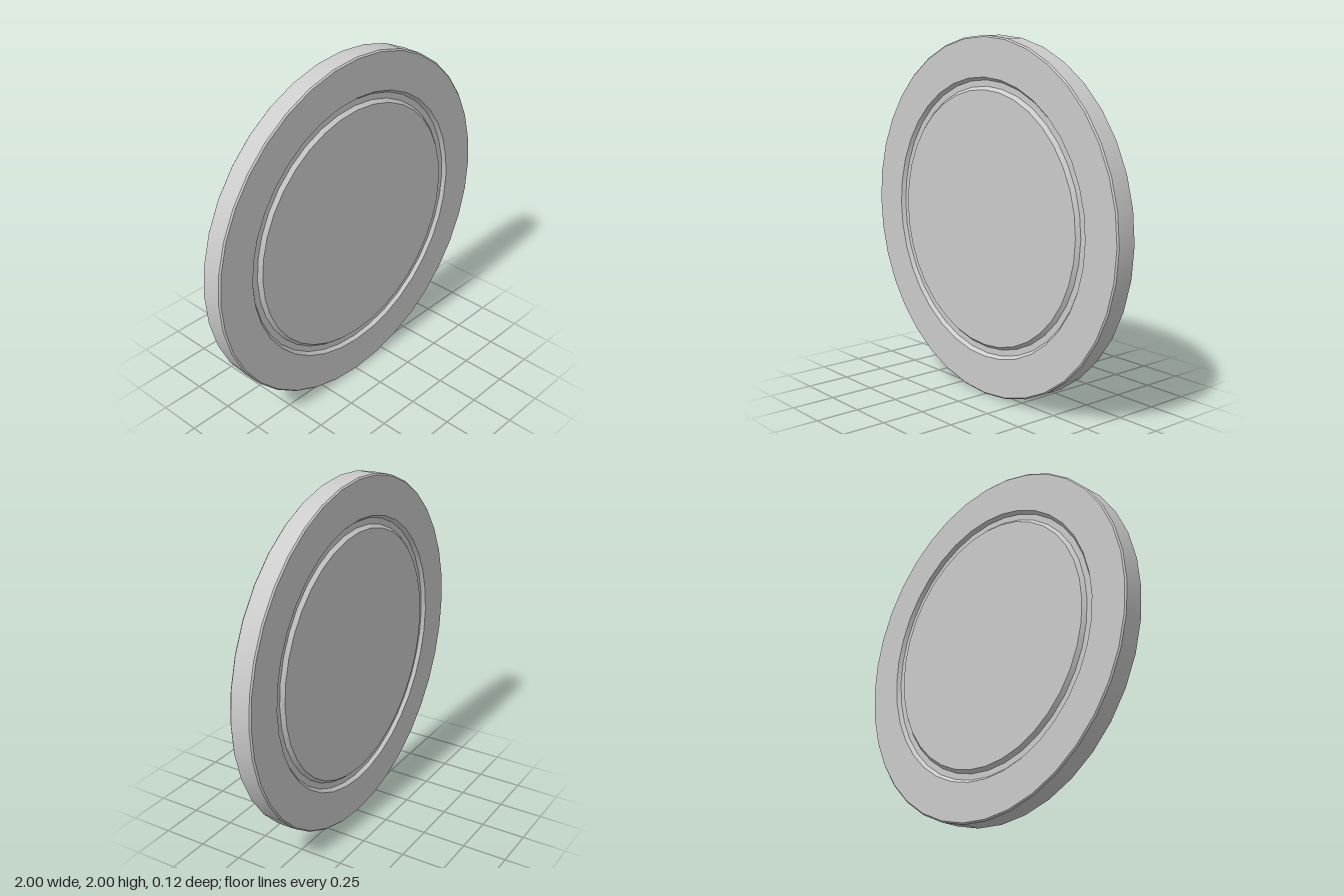
import * as THREE from 'three';
import { toCreasedNormals } from 'three/addons/utils/BufferGeometryUtils.js';

export function createModel() {
  const group = new THREE.Group();
  group.name = 'groovedDisc';

  const half = 0.062;   // half thickness
  const bevel = 0.008;  // outer edge chamfer
  const floor = half - 0.02; // groove floor

  // Radius and height of one face, from the centre to the rim
  const face = [
    [0, half],
    [0.71, half],
    [0.728, floor],
    [0.762, floor],
    [0.778, half],
    [1 - bevel, half],
    [1, half - bevel],
  ];

  // Mirror the face to get both sides, then turn it around the axis
  const back = face.map(([r, h]) => new THREE.Vector2(r, -h));
  const front = face.map(([r, h]) => new THREE.Vector2(r, h)).reverse();
  const lathe = new THREE.LatheGeometry([...back, ...front], 36);
  lathe.rotateX(Math.PI / 2);

  const disc = new THREE.Mesh(
    toCreasedNormals(lathe, 0.45),
    new THREE.MeshStandardMaterial({ color: 0xcccccc })
  );
  disc.name = 'disc';
  disc.position.y = 1;
  group.add(disc);
  return group;
}
